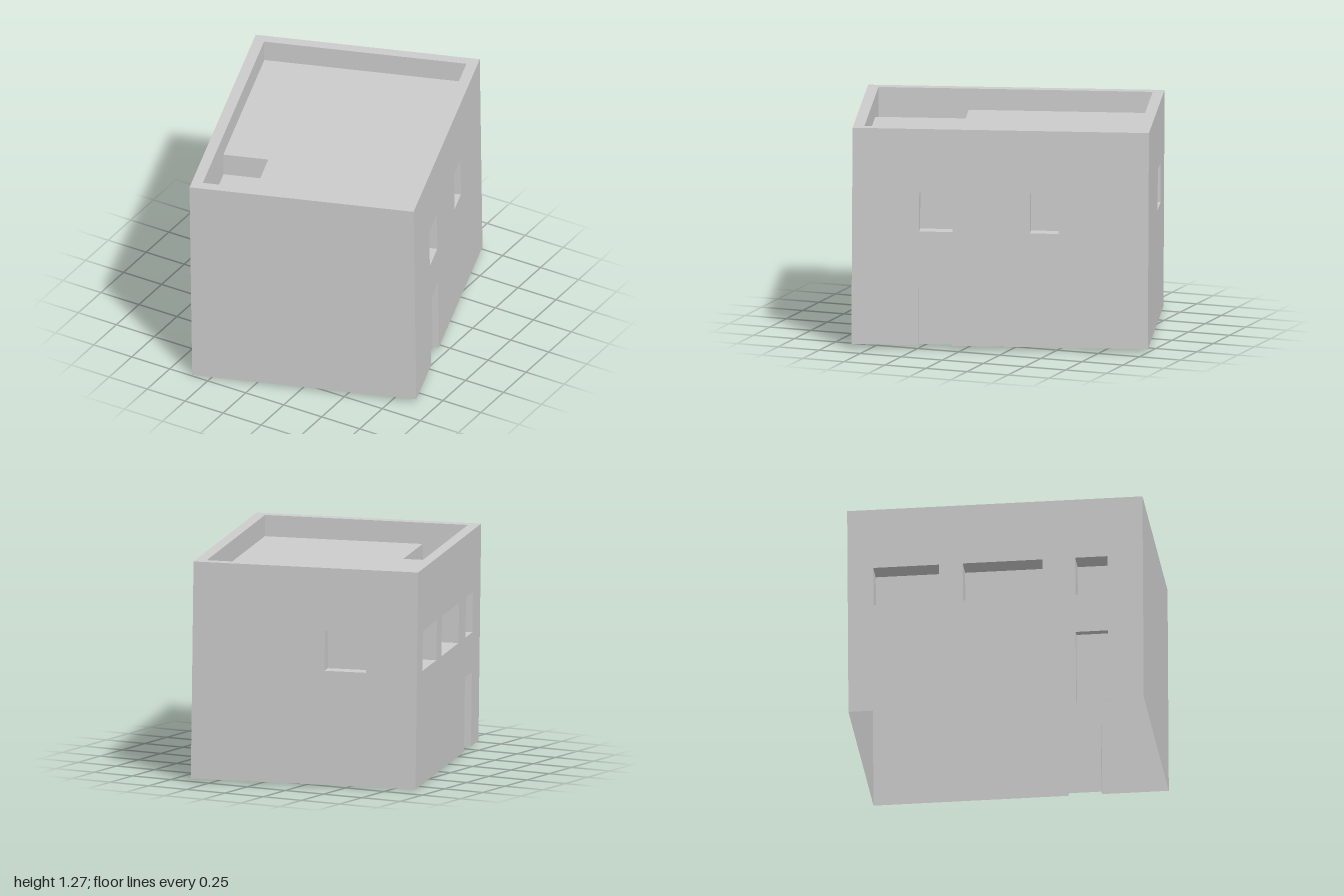
import * as THREE from 'three';

const W = 1.30, D = 1.68, H = 1.245;     // outer size of the house
const T = 0.063;                         // parapet thickness
const ROOF = H - 0.122;                  // roof level inside the parapet
const SILL = 0.655, HEAD = 0.885, DOOR = 0.425;

const material = new THREE.MeshStandardMaterial({ color: 0xcccccc, side: THREE.DoubleSide });

function part(name, geometry, x = 0, y = 0, z = 0) {
  const mesh = new THREE.Mesh(geometry, material);
  mesh.name = name;
  mesh.position.set(x, y, z);
  return mesh;
}

// Hollow box seen from inside, without the listed faces (+x -x +y -y +z -z = 0..5)
function hollow(w, h, d, open) {
  const box = new THREE.BoxGeometry(w, h, d);
  const all = Array.from(box.index.array);
  const kept = [];
  for (let f = 0; f < 6; f++) {
    if (!open.includes(f)) kept.push(...all.slice(f * 6, f * 6 + 6));
  }
  box.setIndex(kept.reverse());
  box.clearGroups();
  const geometry = box.toNonIndexed();
  geometry.computeVertexNormals();
  return geometry;
}

function polygon(points) {
  return new THREE.Shape(points.map(([x, y]) => new THREE.Vector2(x, y)));
}

const rect = (x0, y0, x1, y1) => [[x0, y0], [x1, y0], [x1, y1], [x0, y1]];

// Wall facing +z with recessed windows and an optional door reaching the ground
function wall(name, width, windows = [], depth = 0.09, door = null, doorDepth = 0.035) {
  const group = new THREE.Group();
  group.name = name;
  const h = width / 2;
  const outline = [[-h, 0]];
  if (door) outline.push([door[0], 0], [door[0], DOOR], [door[1], DOOR], [door[1], 0]);
  outline.push([h, 0], [h, H], [-h, H]);
  const shape = polygon(outline);
  for (const [a, b] of windows) {
    shape.holes.push(polygon(rect(a, SILL, b, HEAD)));
    group.add(part('windowRecess', hollow(b - a, HEAD - SILL, depth, [4]),
      (a + b) / 2, (SILL + HEAD) / 2, -depth / 2));
  }
  if (door) {
    group.add(part('doorRecess', hollow(door[1] - door[0], DOOR, doorDepth, [3, 4]),
      (door[0] + door[1]) / 2, DOOR / 2, -doorDepth / 2));
  }
  group.add(part(name + 'Face', new THREE.ShapeGeometry(shape)));
  return group;
}

function place(group, x, z, turn) {
  group.position.set(x, 0, z);
  group.rotation.y = turn;
  return group;
}

// Flat horizontal panel from an outline in x and -z
function flat(name, shape, y) {
  return part(name, new THREE.ShapeGeometry(shape).rotateX(-Math.PI / 2), 0, y, 0);
}

export function createModel() {
  const house = new THREE.Group();
  house.name = 'house';

  // Outer walls, open underneath
  house.add(
    place(wall('frontWall', W), 0, D / 2, 0),
    place(wall('backWall', W, [[0.115, 0.355]]), 0, -D / 2, Math.PI),
    place(wall('eastWall', D, [[-0.46, -0.27], [0.168, 0.329]], 0.09, [-0.46, -0.27]),
      W / 2, 0, Math.PI / 2),
    place(wall('westWall', D, [[-0.694, -0.32], [-0.185, 0.27], [0.455, 0.64]], 0.13, [0.455, 0.64], 0.042),
      -W / 2, 0, -Math.PI / 2),
  );

  // Parapet rim and its inner faces
  const ix = W / 2 - T, iz = D / 2 - T;
  const rim = polygon(rect(-W / 2, -D / 2, W / 2, D / 2));
  rim.holes.push(polygon(rect(-ix, -iz, ix, iz)));
  house.add(flat('parapetRim', rim, H));
  house.add(part('parapetInside', hollow(2 * ix, H - ROOF, 2 * iz, [2, 3]), 0, (H + ROOF) / 2, 0));

  // Roof with a sunken well in one front corner
  const nx = -0.326, nz = 0.265, sink = 0.13;
  house.add(flat('roof', polygon([[-ix, -nz], [nx, -nz], [nx, -iz], [ix, -iz], [ix, iz], [-ix, iz]]), ROOF));
  house.add(part('roofWell', hollow(nx + ix, sink, iz - nz, [2]),
    (nx - ix) / 2, ROOF - sink / 2, (nz + iz) / 2));

  // The house stands turned and leans very slightly
  house.rotation.set(0, 0.312, 0.0143, 'ZYX');
  house.position.set(0.008, 0.0126, 0);

  const model = new THREE.Group();
  model.name = 'model';
  model.add(house);
  return model;
}
